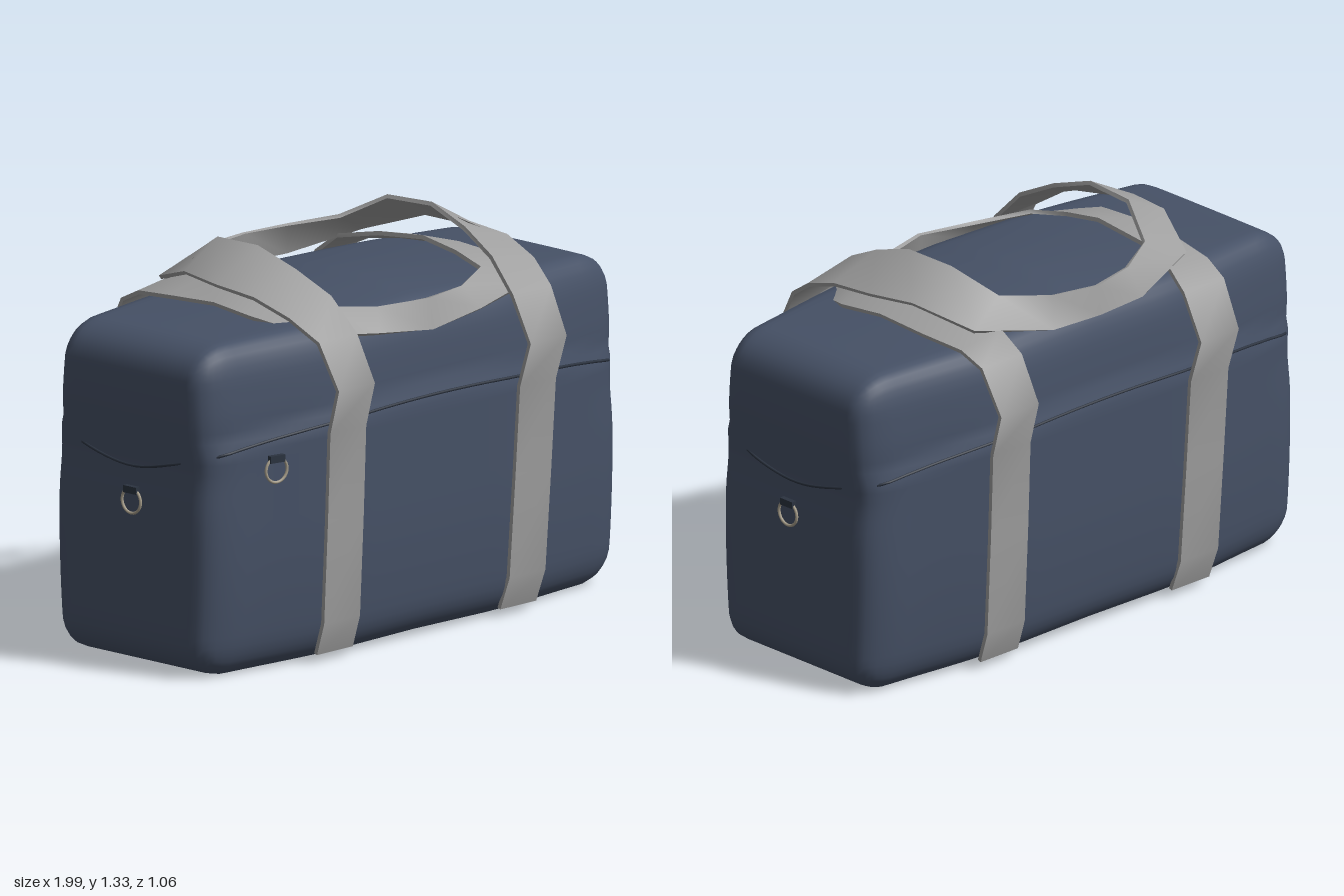
import * as THREE from 'three';
import { mergeVertices } from 'three/addons/utils/BufferGeometryUtils.js';

const HALF = new THREE.Vector3(0.985, 0.555, 0.452);
const ROUND = new THREE.Vector3(0.14, 0.12, 0.09);
const smooth = THREE.MathUtils.smoothstep;

// Turns a point of a plain box into the soft, bulging bag shape
function softenBag(p) {
  const inner = HALF.clone().sub(ROUND);
  const core = p.clone().clamp(inner.clone().negate(), inner);
  const d = p.clone().sub(core).divide(ROUND);
  if (d.lengthSq() > 0) d.normalize();
  p.copy(core).add(d.multiply(ROUND));
  p.y += 0.565;
  const u = Math.abs(p.x) / HALF.x;
  const low = Math.max(0, (0.5 - p.y) / 0.5);
  const seam = seamHeight(p.x);
  // ends narrower, bottom tapered, top set back above the seam
  p.z *= 1 - 0.19 * smooth(u, 0.3, 1.05);
  p.z *= 1 - 0.08 * low * low;
  p.z *= 1 - 0.045 * smooth(p.y, seam - 0.01, seam + 0.04) - 0.045 * smooth(p.y, 0.85, 1.1);
  // crowned top, slightly lifted base, pinched ends
  p.y += 0.055 * smooth(p.y, 0.85, 1.12) * (1 - u) * (1 - 0.9 * (p.z / 0.45) ** 2);
  p.y += 0.012 * (1 - u) * (1 - smooth(p.y, 0, 0.2));
  if (u > 0.8) p.x *= 1 - 0.014 * Math.exp(-(((p.y - 0.7) / 0.1) ** 2));
  return p;
}

function seamHeight(x) {
  return 0.835 - 0.07 * (x / 0.985) ** 2;
}

function bagGeometry() {
  let g = new THREE.BoxGeometry(HALF.x * 2, HALF.y * 2, HALF.z * 2, 48, 32, 26);
  g.deleteAttribute('uv');
  g.deleteAttribute('normal');
  g = mergeVertices(g);
  const pos = g.attributes.position;
  const v = new THREE.Vector3();
  for (let i = 0; i < pos.count; i++) {
    softenBag(v.fromBufferAttribute(pos, i));
    pos.setXYZ(i, v.x, v.y, v.z);
  }
  g.computeVertexNormals();
  return g;
}

// Closed seam line that dips at the two ends
function seamCurve() {
  const pts = [];
  const add = (x, y, z) => pts.push(softenBag(new THREE.Vector3(x, y - 0.565, z)));
  const n = 16;
  for (let i = 0; i <= n; i++) {
    const x = -0.95 + 1.9 * i / n;
    add(x, seamHeight(x), HALF.z);
  }
  for (const z of [0.25, 0, -0.25]) add(HALF.x, 0.69 + 0.6 * z * z, z);
  for (let i = 0; i <= n; i++) {
    const x = 0.95 - 1.9 * i / n;
    add(x, seamHeight(x), -HALF.z);
  }
  for (const z of [-0.25, 0, 0.25]) add(-HALF.x, 0.69 + 0.6 * z * z, z);
  return new THREE.CatmullRomCurve3(pts, true);
}

// Flat webbing from [inner xyz, outer xyz] rows of one half, mirrored in x
function webbing(half, thickness) {
  const rows = half.map(r => [new THREE.Vector3(...r.slice(0, 3)), new THREE.Vector3(...r.slice(3))]);
  const flip = v => new THREE.Vector3(-v.x, v.y, v.z);
  for (let i = half.length - 2; i >= 0; i--) rows.push(rows[i].map(flip));
  const mids = rows.map(([a, b]) => a.clone().add(b).multiplyScalar(0.5));
  const sections = rows.map(([a, b], i) => {
    const t = mids[Math.min(i + 1, rows.length - 1)].clone().sub(mids[Math.max(i - 1, 0)]);
    const n = t.cross(b.clone().sub(a)).setLength(thickness / 2);
    return [a.clone().add(n), b.clone().add(n), b.clone().sub(n), a.clone().sub(n)];
  });
  const verts = [], index = [];
  const put = p => verts.push(p.x, p.y, p.z);
  for (let k = 0; k < 4; k++) {
    const base = verts.length / 3;
    sections.forEach(s => { put(s[k]); put(s[(k + 1) % 4]); });
    for (let i = 0; i < sections.length - 1; i++) {
      const o = base + i * 2;
      index.push(o, o + 2, o + 1, o + 1, o + 2, o + 3);
    }
  }
  // sewn ends
  const e = verts.length / 3;
  sections[0].forEach(put);
  sections[sections.length - 1].forEach(put);
  index.push(e, e + 1, e + 2, e, e + 2, e + 3, e + 4, e + 6, e + 5, e + 4, e + 7, e + 6);
  const g = new THREE.BufferGeometry();
  g.setAttribute('position', new THREE.Float32BufferAttribute(verts, 3));
  g.setIndex(index);
  g.computeVertexNormals();
  return g;
}

// Strap running up one face of the bag
const riser = s => [
  [0.35, 0.04, 0.405 * s, 0.52, 0.04, 0.405 * s],
  [0.355, 0.15, 0.442 * s, 0.525, 0.15, 0.442 * s],
  [0.36, 0.5, 0.464 * s, 0.53, 0.5, 0.464 * s],
  [0.365, 0.8, 0.48 * s, 0.535, 0.8, 0.48 * s],
  [0.37, 0.95, 0.524 * s, 0.54, 0.95, 0.524 * s],
  [0.37, 1.1, 0.445 * s, 0.55, 1.1, 0.445 * s],
];

export function createModel() {
  const mat = (name, color) => new THREE.MeshStandardMaterial({ name, color });
  const navy = mat('navy fabric', 0x465166);
  const dark = mat('dark navy trim', 0x2b3340);
  const grey = mat('grey webbing', 0x9f9f9f);
  const metal = mat('ring metal', 0xa89f8c);

  const bag = new THREE.Group();
  bag.name = 'duffelBag';
  const add = (name, geometry, material, parent = bag) => {
    const m = new THREE.Mesh(geometry, material);
    m.name = name;
    parent.add(m);
    return m;
  };

  add('body', bagGeometry(), navy);
  add('seam', new THREE.TubeGeometry(seamCurve(), 160, 0.005, 6, true), dark);

  // Front handle lies over the top toward the back
  add('frontHandle', webbing([
    ...riser(1),
    [0.38, 1.21, 0.34, 0.58, 1.17, 0.34],
    [0.4, 1.28, 0.2, 0.6, 1.22, 0.2],
    [0.41, 1.335, 0.04, 0.6, 1.235, 0.03],
    [0.4, 1.33, -0.15, 0.57, 1.245, -0.14],
    [0.33, 1.25, -0.3, 0.48, 1.18, -0.34],
    [0.17, 1.235, -0.385, 0.2, 1.13, -0.42],
    [0, 1.23, -0.42, 0, 1.13, -0.432],
  ], 0.014), grey);

  // Back handle lies beneath it toward the front
  add('backHandle', webbing([
    ...riser(-1),
    [0.38, 1.165, -0.36, 0.56, 1.14, -0.36],
    [0.41, 1.195, -0.2, 0.58, 1.155, -0.2],
    [0.41, 1.215, 0, 0.58, 1.165, 0],
    [0.41, 1.19, 0.15, 0.59, 1.15, 0.17],
    [0.38, 1.165, 0.29, 0.5, 1.1, 0.37],
    [0.2, 1.15, 0.375, 0.24, 1.075, 0.425],
    [0, 1.155, 0.42, 0, 1.05, 0.434],
  ], 0.014), grey);

  // Ring hanging from a short fabric tab
  const ringAt = (name, x, y, z, turn) => {
    const g = new THREE.Group();
    g.name = name;
    add('ring', new THREE.TorusGeometry(0.042, 0.005, 8, 28), metal, g);
    add('tab', new THREE.BoxGeometry(0.058, 0.024, 0.018), dark, g).position.y = 0.038;
    g.position.set(x, y, z);
    g.rotation.y = turn;
    bag.add(g);
  };
  ringAt('frontRing', -0.725, 0.702, 0.424, -0.2);
  ringAt('leftRing', 0.987, 0.575, 0.015, Math.PI / 2);
  ringAt('rightRing', -0.987, 0.575, 0.015, -Math.PI / 2);
  return bag;
}
